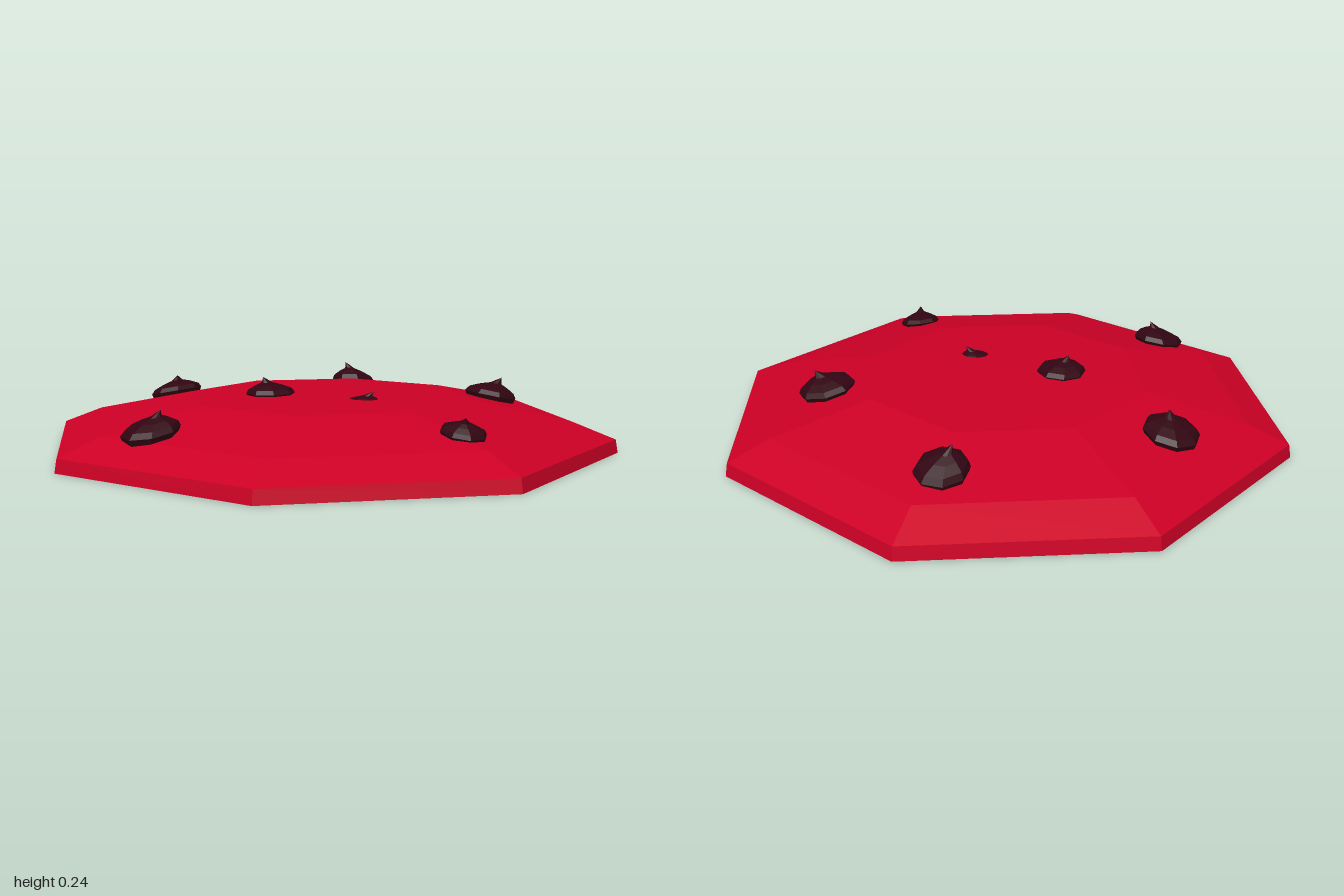
import * as THREE from 'three';

const SIDES = 8;
// Disc outline, from the slightly hollow underside up to the top centre
const RINGS = [[0, 0.04], [1, 0], [0.992, 0.045], [0.85, 0.1], [0.5, 0.17], [0, 0.18]];

// Height of the domed top at distance r from the centre
function topHeight(r) {
  return r < 0.5 ? 0.18 - 0.02 * r : 0.17 - 0.2 * (r - 0.5);
}

// Low-poly drop with a curled tip, sheared to follow the slope of the dome
function makeChip({ x, z, radius, height, tip, sink = 0, depth = 1 }, material) {
  const profile = [[0, -0.25], [0.9, -0.25], [1, 0.08], [0.88, 0.32], [0.54, 0.54], [0.22, 0.69], [0.09, 0.87], [0, 1]]
    .map(([r, y]) => new THREE.Vector2(r * radius, y * height));
  const geometry = new THREE.LatheGeometry(profile, SIDES, Math.PI / 8);
  const p = geometry.attributes.position;
  const dist = Math.hypot(x, z);
  const slope = dist > 0.5 ? 0.2 : 0.02;
  for (let i = 0; i < p.count; i++) {
    const lx = p.getX(i), ly = p.getY(i), lz = p.getZ(i) * depth;
    const bend = Math.max(0, ly / height) ** 2;
    const drop = slope * (lx * x + lz * z) / dist;
    p.setXYZ(i, lx + tip[0] * bend, ly - drop, lz + tip[1] * bend);
  }
  geometry.computeVertexNormals();
  const chip = new THREE.Mesh(geometry, material);
  chip.position.set(x, topHeight(dist) - sink, z);
  return chip;
}

export function createModel() {
  const group = new THREE.Group();
  const red = new THREE.MeshStandardMaterial({ color: 0xcc0025, flatShading: true });
  const dark = new THREE.MeshStandardMaterial({ color: 0x300511, flatShading: true });

  // Eight-sided disc with a shallow faceted dome
  const disc = new THREE.Mesh(
    new THREE.LatheGeometry(RINGS.map(([r, y]) => new THREE.Vector2(r, y)), SIDES), red);
  disc.name = 'disc';
  group.add(disc);

  // Scattered chips; the last one is half sunk into the disc
  const chips = [
    { x: -0.03, z: -0.685, radius: 0.088, height: 0.085, tip: [-0.03, 0.02] },
    { x: -0.635, z: -0.22, radius: 0.094, height: 0.068, tip: [0.015, 0.03] },
    { x: 0.555, z: -0.27, radius: 0.097, height: 0.066, tip: [0.04, -0.01] },
    { x: -0.19, z: 0.06, radius: 0.086, height: 0.06, tip: [-0.025, 0.01] },
    { x: -0.43, z: 0.61, radius: 0.093, height: 0.072, tip: [0.035, 0] },
    { x: 0.52, z: 0.485, radius: 0.074, height: 0.054, tip: [0.01, 0.035] },
    { x: 0.14, z: 0.12, radius: 0.078, height: 0.05, tip: [0.05, 0], sink: 0.024, depth: 0.75 },
  ];
  chips.forEach((spec, i) => {
    const chip = makeChip(spec, dark);
    chip.name = `chip${i + 1}`;
    group.add(chip);
  });
  return group;
}
